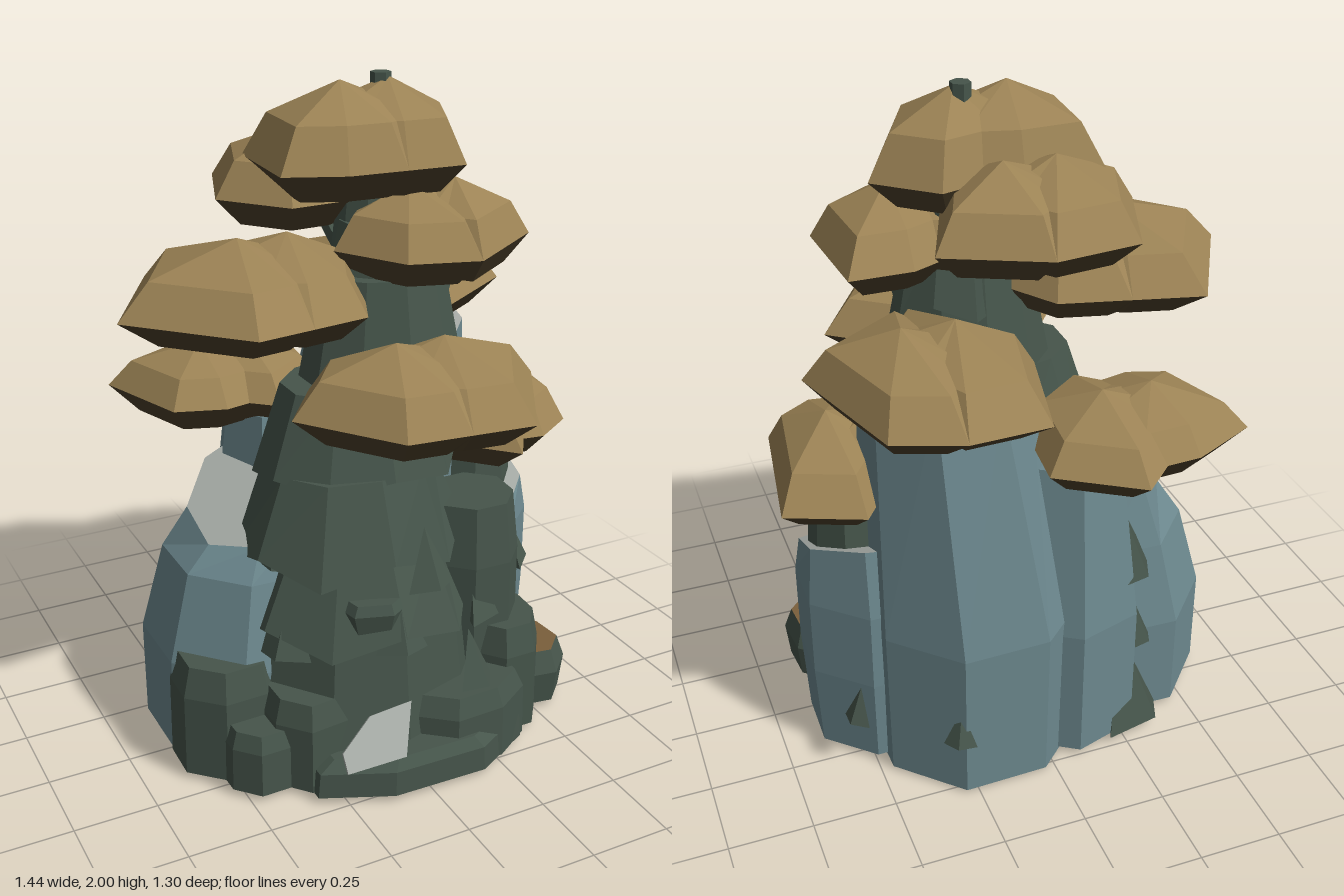
import * as THREE from 'three';

const mat = (name, color) => {
  const m = new THREE.MeshStandardMaterial({ color, flatShading: true });
  m.name = name;
  return m;
};

// Small seeded generator for irregular rock outlines
function seeded(seed) {
  return () => {
    seed = (seed * 16807) % 2147483647;
    return seed / 2147483647;
  };
}

// Loft a star-shaped outline through rings {y, s, dx, dz, tx, tz, jag}; group 0 = sides and base, 1 = top
function loft(outline, cx, cz, rings, tip) {
  const pts = outline.map(([x, z]) => [x - cx, z - cz])
    .sort((a, b) => Math.atan2(a[1], a[0]) - Math.atan2(b[1], b[0]));
  const n = pts.length, pos = [], idx = [];
  for (const { y, s, dx = 0, dz = 0, tx = 0, tz = 0, jag = 0 } of rings) {
    pts.forEach(([x, z], i) => pos.push(
      cx + x * s + dx, y + x * tx + z * tz + (i % 2) * jag, cz + z * s + dz));
  }
  const first = rings[0], last = rings[rings.length - 1];
  const base = (rings.length - 1) * n, lo = rings.length * n, hi = lo + 1;
  pos.push(cx, first.y + (first.jag || 0) / 2, cz);
  pos.push(cx + (last.dx || 0), tip ?? last.y, cz + (last.dz || 0));
  for (let r = 0; r < rings.length - 1; r++) {
    for (let i = 0; i < n; i++) {
      const a = r * n + i, b = r * n + (i + 1) % n;
      idx.push(a, a + n, b, a + n, b + n, b);
    }
  }
  for (let i = 0; i < n; i++) idx.push(lo, i, (i + 1) % n);
  const split = idx.length;
  for (let i = 0; i < n; i++) idx.push(hi, base + (i + 1) % n, base + i);
  const indexed = new THREE.BufferGeometry();
  indexed.setAttribute('position', new THREE.Float32BufferAttribute(pos, 3));
  indexed.setIndex(idx);
  const g = indexed.toNonIndexed();
  g.addGroup(0, split, 0);
  g.addGroup(split, idx.length - split, 1);
  g.computeVertexNormals();
  return g;
}

// Slightly irregular oval outline
function oval(cx, cz, rx, rz, n, seed, wobble = 0.05, turn = 0.39) {
  const rnd = seeded(seed * 977 + 13);
  rnd();
  return Array.from({ length: n }, (_, i) => {
    const a = turn + i / n * Math.PI * 2, k = 1 + (rnd() - 0.5) * 2 * wobble;
    return [cx + Math.cos(a) * rx * k, cz + Math.sin(a) * rz * k];
  });
}

export function createModel() {
  const model = new THREE.Group();
  const brown = mat('canopy brown', 0x9c8355);
  const under = mat('canopy underside', 0x4e412b);
  const earth = mat('earth brown', 0x7a5f3c);
  const green = mat('moss green', 0x46554b);
  const blue = mat('stone blue', 0x6d898f);
  const grey = mat('pale stone', 0xa5aaa5);
  const add = (name, geo, side, top = side) => {
    const m = new THREE.Mesh(geo, side === top ? side : [side, top]);
    m.name = name;
    model.add(m);
    return m;
  };

  // Canopies: two overlapping domed lobes over a few rim corners, each with a dark underside
  const canopy = (name, cx, cz, y, peak, corners) => {
    const rim = corners.flatMap(([x, z], i) => {
      const [u, v] = corners[(i + 1) % corners.length];
      return [[x, z], [(x + u) / 2, (z + v) / 2]];
    });
    const h = peak - y;
    for (const side of [-1, 1]) {
      const x0 = cx + side * .075;
      const outline = rim.map(([x, z]) => {
        const k = (x - cx) * side < -.03 ? .72 : 1;
        return [cx + (x - cx) * k, cz + (z - cz) * k];
      });
      const lobe = name + (side < 0 ? 'Right' : 'Left');
      add(lobe + 'Lobe', loft(outline, x0, cz, [{ y, s: 1 }, { y: y + h * .56, s: .74 }], peak), brown);
      add(lobe + 'Underside', loft(outline, x0, cz, [{ y: y - .085, s: .68 }, { y, s: 1 }]), under);
    }
  };
  canopy('topCanopy', .045, 0, 1.77, 1.99, [[-.27, .13], [-.1, .2], [.25, .22], [.38, -.06], [.22, -.2], [-.25, -.18]]);
  canopy('upperBackCanopy', -.02, -.2, 1.66, 1.84, [[-.35, -.14], [-.24, -.44], [.01, -.47], [.29, -.34], [.15, .03], [-.2, .05]]);
  canopy('upperFrontCanopy', .21, .1, 1.54, 1.71, [[.47, -.15], [.49, .18], [.22, .37], [.02, .31], [-.1, .1], [.1, -.15]]);
  canopy('upperRightCanopy', -.28, .02, 1.41, 1.59, [[-.72, .06], [-.51, -.32], [-.1, -.22], [.04, 0], [-.1, .31], [-.44, .36]]);
  canopy('backCanopy', .3, -.3, 1.29, 1.46, [[.08, -.64], [.31, -.65], [.5, -.58], [.62, -.18], [.3, .03], [0, -.3]]);
  canopy('frontCanopy', .04, .35, 1.16, 1.34, [[-.14, .61], [.23, .65], [.44, .3], [.2, .12], [-.2, .14], [-.34, .33]]);
  canopy('lowerBackCanopy', -.27, -.33, 1.04, 1.18, [[-.6, -.45], [-.2, -.65], [.03, -.5], [0, -.2], [-.2, -.05], [-.5, -.15]]);
  canopy('lowerLeftCanopy', .45, -.02, .92, 1.09, [[.72, -.26], [.66, .17], [.4, .34], [.22, .15], [.25, -.2], [.5, -.35]]);

  // Stone columns with pale sloping tops
  add('backColumn', loft(oval(.16, -.24, .33, .31, 8, 4, .03), .16, -.24, [
    { y: .01, s: 1 }, { y: .5, s: 1.02 }, { y: 1.19, s: .74, dx: .07, dz: .03, tx: .12, tz: -.28 },
  ]), blue, grey);
  add('leftColumn', loft(oval(.4, -.09, .26, .24, 8, 7, .03), .4, -.09, [
    { y: .02, s: .97 }, { y: .3, s: 1.03 }, { y: .55, s: 1.03 }, { y: .67, s: .92, dx: .01, tx: .12, tz: -.4 },
  ]), blue, grey);
  add('rightColumn', loft(oval(-.34, -.08, .3, .33, 8, 5, .03), -.34, -.08, [
    { y: .02, s: 1 }, { y: .33, s: 1 }, { y: .6, s: .85, dx: .03 }, { y: .79, s: .68, dx: .06, tx: .34, tz: -.2 },
  ]), blue, grey);
  add('middleColumn', loft(oval(-.13, -.27, .24, .24, 7, 8), -.13, -.27, [
    { y: .02, s: 1 }, { y: .45, s: 1 }, { y: .98, s: .7 },
  ]), blue);

  // Mossy trunk: overlapping tiers with jagged hems [cx, cz, rx, rz, y0, y1, hem]
  [
    [-.03, .12, .4, .36, .02, .46, 0],
    [-.05, .13, .36, .34, .42, .68, .06],
    [-.06, .1, .35, .31, .63, .92, .06],
    [-.02, .08, .32, .25, .88, 1.15, .03],
    [.07, .06, .26, .21, 1.1, 1.46, 0],
    [.1, .04, .2, .16, 1.34, 1.6, .05],
    [.08, 0, .13, .12, 1.5, 1.82, 0],
  ].forEach(([cx, cz, rx, rz, y0, y1, jag], i) =>
    add('trunkTier' + (i + 1), loft(oval(cx, cz, rx, rz, 10, i + 2, .04, .31), cx, cz,
      [{ y: y0, s: 1, jag }, { y: y1, s: i ? .72 : .85 }]), green));
  add('topStem', new THREE.CylinderGeometry(.03, .03, .3, 6).translate(.105, 1.85, -.015), green);

  // Mossy boulders [cx, cz, rx, rz, height]
  [
    [.31, .2, .16, .16, .76],
    [.49, -.1, .13, .13, .9],
    [.02, .39, .38, .17, .13],
    [.18, .38, .21, .15, .25],
    [-.46, .1, .18, .17, .37],
    [-.42, .26, .13, .12, .21],
    [.38, .27, .13, .15, .37],
    [-.27, .28, .16, .15, .3],
  ].forEach(([cx, cz, rx, rz, h], i) =>
    add('boulder' + (i + 1), loft(oval(cx, cz, rx, rz, 8, i + 3), cx, cz,
      [{ y: .02, s: 1 }, { y: h * .75, s: .98 }, { y: h, s: .84 }]), green));
  add('brownToppedRock', loft(oval(.53, .21, .12, .15, 7, 6), .53, .21,
    [{ y: .02, s: .9 }, { y: .13, s: 1 }, { y: .2, s: .8 }]), green, earth);
  add('groundDisc', loft(oval(0, -.03, .5, .38, 12, 9), 0, -.03, [{ y: 0, s: 1 }, { y: .03, s: 1 }]), green);
  add('trunkShelf', loft(oval(-.1, .36, .12, .09, 6, 3), -.1, .36,
    [{ y: .49, s: .8 }, { y: .56, s: 1 }, { y: .59, s: .85 }]), green);

  // Pale ledge on the front slab
  const ledge = new THREE.Shape([[-.27, 0], [-.08, 0], [-.02, .15], [-.16, .14], [-.27, .06]]
    .map(([x, y]) => new THREE.Vector2(x, y)));
  const plate = add('paleLedge', new THREE.ExtrudeGeometry(ledge, { depth: .008, bevelEnabled: false }), grey);
  plate.position.set(0, .125, .52);
  plate.rotation.x = -.6;

  // Pointed moss leaves, facing outward [x, y, z, radius]
  [
    [.5, .54, .13, .08], [.28, .5, .3, .09], [-.33, .5, .25, .09], [-.05, .52, .42, .08],
    [.06, .68, .38, .08], [.2, .33, .42, .08], [-.3, .75, .18, .09], [-.27, .68, -.36, .11],
    [-.3, .4, -.38, .08], [.3, .25, -.52, .05], [.55, .25, -.32, .05], [-.29, .18, -.38, .14],
  ].forEach(([x, y, z, r], i) => {
    const leaf = add('mossLeaf' + (i + 1), new THREE.ConeGeometry(r, r * 2.3, 4), green);
    leaf.position.set(x, y, z);
    leaf.rotation.set(-.2, Math.atan2(x, z), 0, 'YXZ');
    leaf.scale.z = .6;
  });

  // Branches reaching to the canopies
  const branch = (name, from, to) => {
    const path = new THREE.LineCurve3(new THREE.Vector3(...from), new THREE.Vector3(...to));
    add(name, new THREE.TubeGeometry(path, 1, .035, 5), green);
  };
  branch('upperRightBranch', [0, 1.2, .05], [-.27, 1.38, .02]);
  branch('upperFrontBranch', [.15, 1.3, 0], [.25, 1.5, .1]);
  branch('upperBackBranch', [.02, 1.45, 0], [-.02, 1.66, -.2]);
  branch('lowerBackBranch', [0, .75, -.05], [-.27, 1, -.3]);
  branch('frontBranch', [.05, 1, .15], [.04, 1.15, .32]);
  return model;
}
